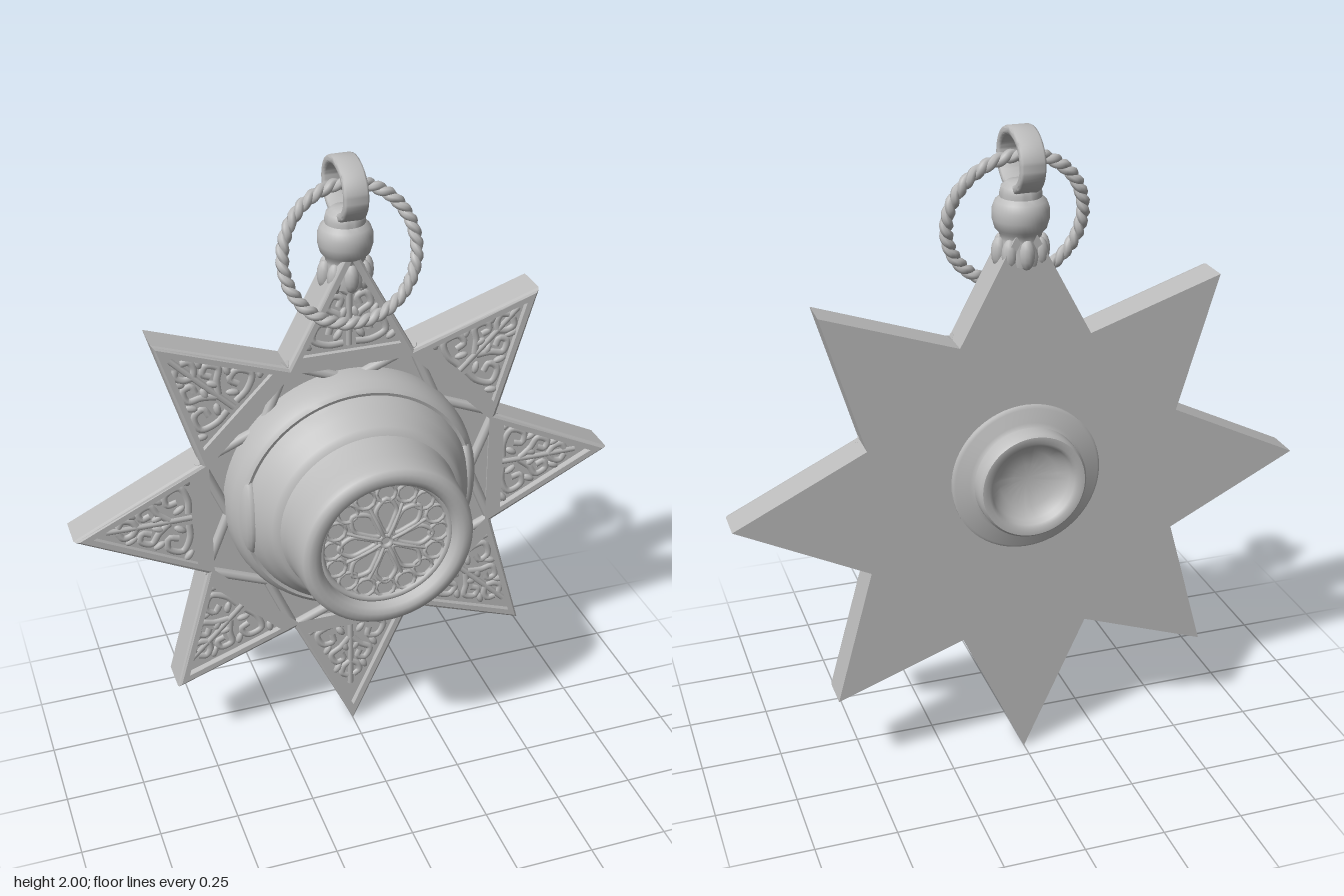
import * as THREE from 'three';
import { toCreasedNormals } from 'three/addons/utils/BufferGeometryUtils.js';

const metal = new THREE.MeshStandardMaterial({ color: 0xbcbcbc, side: THREE.DoubleSide });
metal.name = 'grey metal';
const CY = 0.91;
const V2 = (x, y) => new THREE.Vector2(x, y);
const V3 = (x, y, z) => new THREE.Vector3(x, y, z);

export function createModel() {
  const model = new THREE.Group();
  model.name = 'starPendant';

  const add = (name, geometry, parent = model) => {
    const mesh = new THREE.Mesh(geometry, metal);
    mesh.name = name;
    parent.add(mesh);
    return mesh;
  };
  const lathe = (pts, seg = 64) =>
    toCreasedNormals(new THREE.LatheGeometry(pts.map(p => V2(p[0], p[1])), seg), 0.7);
  const tube = (pts, r, closed = false, seg = 24, sides = 6) =>
    new THREE.TubeGeometry(new THREE.CatmullRomCurve3(pts, closed), seg, r, sides, closed);

  // Star outline: tips and inner corners, clockwise from the top
  const tips = [[0, 0.85], [0.602, 0.615], [0.878, 0.003], [0.595, -0.622],
    [0, -0.91], [-0.595, -0.622], [-0.878, 0.003], [-0.602, 0.615]].map(p => V2(...p));
  const corners = tips.map((_, i) => {
    const a = (i + 0.5) * Math.PI / 4;
    return V2(0.518 * Math.sin(a), 0.518 * Math.cos(a));
  });
  const outline = tips.flatMap((t, i) => [t, corners[i]]);

  // Back plate
  const plate = new THREE.ExtrudeGeometry(new THREE.Shape(outline), { depth: 0.086, bevelEnabled: false });
  add('starPlate', plate).position.set(0, CY, -0.2);

  // Raised frame with a triangular field in each point and an open centre
  const frameShape = new THREE.Shape(outline);
  tips.forEach((t, i) => {
    const b = corners[i], c = corners[(i + 7) % 8];
    const lt = b.distanceTo(c), lb = t.distanceTo(c), lc = t.distanceTo(b);
    const centre = V2(0, 0).addScaledVector(t, lt).addScaledVector(b, lb).addScaledVector(c, lc)
      .divideScalar(lt + lb + lc);
    frameShape.holes.push(new THREE.Path([t, b, c].map(p => p.clone().lerp(centre, 0.15))));
  });
  frameShape.holes.push(new THREE.Path(corners.map(p => p.clone().multiplyScalar(0.975))));
  const frame = new THREE.ExtrudeGeometry(frameShape, {
    depth: 0.018, bevelThickness: 0.014, bevelSize: 0.012, bevelOffset: -0.012, bevelSegments: 2,
  });
  add('starFrame', frame).position.set(0, CY, -0.114);

  // Crossing straps between the inner corners
  corners.forEach((a, i) => {
    const b = corners[(i + 2) % 8];
    const strap = add('strap', new THREE.CylinderGeometry(0.016, 0.016, a.distanceTo(b), 8));
    strap.position.set((a.x + b.x) / 2, CY + (a.y + b.y) / 2, -0.106);
    strap.rotation.z = Math.atan2(b.y - a.y, b.x - a.x) - Math.PI / 2;
  });

  // Mirrored low-relief scrolls and leaves in each point (v across, u outward)
  const scrolls = [
    [[0.02, 0.52], [0.07, 0.52], [0.115, 0.545], [0.095, 0.59], [0.06, 0.585], [0.065, 0.555]],
    [[0.005, 0.58], [0.035, 0.615], [0.068, 0.64], [0.05, 0.675], [0.025, 0.665], [0.033, 0.64]],
    [[0.0, 0.68], [0.025, 0.70], [0.03, 0.725], [0.01, 0.74]],
  ];
  const leaves = [[0.135, 0.525, 0.9], [0.035, 0.548, -0.6], [0.08, 0.615, 0.5], [0.02, 0.615, -0.4], [0.045, 0.7, 0.5]];
  for (let i = 0; i < 8; i++) {
    const foliage = new THREE.Group();
    foliage.name = 'foliage';
    foliage.position.set(0, CY, -0.114);
    foliage.rotation.z = -i * Math.PI / 4;
    foliage.scale.z = 0.7;
    add('stem', tube([V3(0, 0.51, 0), V3(0, 0.65, 0.003), V3(0, 0.775, 0)], 0.01), foliage);
    for (const s of [-1, 1]) {
      scrolls.forEach(p => add('scroll', tube(p.map(([v, u]) => V3(s * v, u, 0)), 0.012), foliage));
      leaves.forEach(([v, u, turn]) => {
        const leaf = add('leaf', new THREE.SphereGeometry(1, 8, 6), foliage);
        leaf.position.set(s * v, u, 0);
        leaf.scale.set(0.012, 0.022, 0.014);
        leaf.rotation.z = -s * turn;
      });
    }
    model.add(foliage);
  }

  // Stepped central boss with a recessed face
  const boss = lathe([
    [0.405, -0.12], [0.405, -0.08], [0.398, -0.045], [0.385, -0.015], [0.372, -0.005], [0.362, -0.008],
    [0.355, 0.01], [0.338, 0.04], [0.318, 0.065], [0.308, 0.088], [0.298, 0.098], [0.286, 0.104],
    [0.28, 0.13], [0.275, 0.2], [0.271, 0.25], [0.266, 0.268], [0.252, 0.278], [0.232, 0.28],
    [0.215, 0.272], [0.207, 0.258], [0.205, 0.225], [0, 0.225],
  ], 72);
  boss.rotateX(Math.PI / 2);
  add('boss', boss).position.set(-0.004, 0.935, 0);

  // Rounded lobes swelling from the foot of the boss: two sides and a small top one
  [[0.343, 0.94, 0.045, 0.17, 0.11], [-0.348, 0.94, 0.045, 0.17, 0.11], [0, 1.295, 0.1, 0.04, 0.07]]
    .forEach(([x, y, sx, sy, sz]) => {
      const lobe = add('bossLobe', new THREE.SphereGeometry(1, 24, 16));
      lobe.position.set(x, y, -0.08);
      lobe.scale.set(sx, sy, sz);
    });

  // Rosette tracery
  const rosette = new THREE.Group();
  rosette.name = 'rosette';
  rosette.position.set(-0.004, 0.94, 0.238);
  model.add(rosette);
  add('rosetteRim', new THREE.TorusGeometry(0.203, 0.012, 8, 64), rosette);
  add('rosetteHub', new THREE.TorusGeometry(0.02, 0.008, 8, 20), rosette);
  const petal = tube([[0, 0.03], [0.024, 0.075], [0.032, 0.11], [0, 0.148], [-0.032, 0.11], [-0.024, 0.075]]
    .map(([x, y]) => V3(x, y, 0)), 0.0075, true, 32);
  const cell = new THREE.TorusGeometry(0.031, 0.0065, 6, 10);
  const spoke = tube([V3(0, 0.02, 0.005), V3(0, 0.06, 0.008), V3(0, 0.135, 0)], 0.006, false, 8);
  for (let i = 0; i < 16; i++) {
    const a = i * Math.PI / 8;
    const ring = add('rosetteCell', cell, rosette);
    ring.position.set(0.168 * Math.sin(a), 0.168 * Math.cos(a), 0);
    if (i % 2) add('rosetteSpoke', spoke, rosette).rotation.z = a;
    else add('rosettePetal', petal, rosette).rotation.z = a;
  }

  // Hollow socket on the back
  const socket = lathe([
    [0.23, 0.195], [0.23, 0.21], [0.222, 0.216], [0.178, 0.218], [0.167, 0.226], [0.165, 0.272], [0.158, 0.28],
    [0.138, 0.28], [0.128, 0.272], [0.12, 0.25], [0.09, 0.228], [0.045, 0.217], [0, 0.214],
  ]);
  socket.rotateX(-Math.PI / 2);
  add('backSocket', socket).position.set(0, 0.96, 0);

  // Finial: leafy collar, bead and neck
  const finial = lathe([
    [0.062, 1.61], [0.066, 1.64], [0.058, 1.68], [0.062, 1.7], [0.074, 1.712], [0.082, 1.74], [0.082, 1.768],
    [0.074, 1.79], [0.06, 1.802], [0.06, 1.815], [0.056, 1.832], [0.04, 1.845], [0, 1.85],
  ], 40);
  add('finial', finial).position.z = -0.145;
  for (let i = 0; i < 8; i++) {
    const a = i * Math.PI / 4;
    const leaf = add('collarLeaf', new THREE.SphereGeometry(1, 12, 8));
    leaf.scale.set(0.024, 0.045, 0.022);
    leaf.position.set(0.064 * Math.sin(a), 1.645, -0.145 + 0.054 * Math.cos(a));
  }

  // Oval link, a flat band facing sideways
  const oval = new THREE.Shape().absellipse(0, 0, 0.114, 0.094, 0, Math.PI * 2);
  oval.holes.push(new THREE.Path().absellipse(0, 0, 0.088, 0.068, 0, Math.PI * 2));
  const link = new THREE.ExtrudeGeometry(oval, {
    depth: 0.058, bevelThickness: 0.008, bevelSize: 0.008, bevelOffset: -0.008, bevelSegments: 2, curveSegments: 32,
  });
  link.translate(0, 0, -0.029);
  link.rotateY(Math.PI / 2);
  add('link', toCreasedNormals(link, 0.8)).position.set(0, 1.906, -0.145);

  // Twisted rope ring through the link, its lower edge leaning forward over the star
  const rope = new THREE.Group();
  rope.name = 'ropeRing';
  rope.position.set(0, 1.72, -0.098);
  rope.rotation.x = -0.235;
  model.add(rope);
  for (let s = 0; s < 2; s++) {
    const pts = [];
    for (let i = 0; i < 240; i++) {
      const t = i / 240 * Math.PI * 2, w = t * 18 + s * Math.PI;
      const r = 0.204 + 0.007 * Math.cos(w);
      pts.push(V3(r * Math.cos(t), r * Math.sin(t), 0.007 * Math.sin(w)));
    }
    add('ropeStrand', tube(pts, 0.0135, true, 360, 7), rope);
  }
  return model;
}
